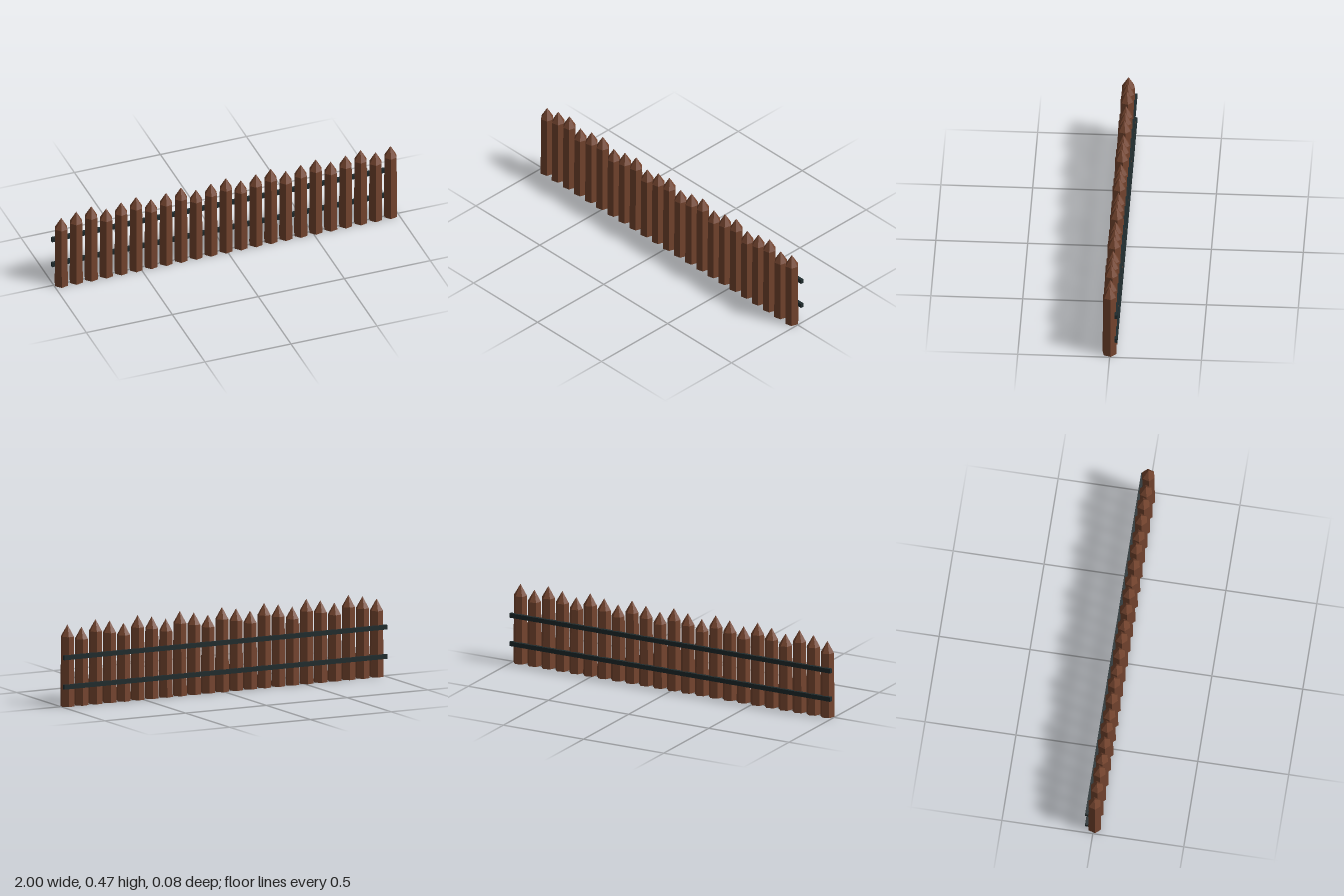
import * as THREE from 'three';

export function createModel() {
  const group = new THREE.Group();
  group.name = 'palisadeFence';

  const wood = new THREE.MeshStandardMaterial({ color: 0x75452f });
  wood.name = 'brown wood';
  const iron = new THREE.MeshStandardMaterial({ color: 0x1f2b2d });
  iron.name = 'dark iron';
  wood.flatShading = iron.flatShading = true;

  const count = 23, spacing = 0.087, tipHeight = 0.065;
  const heights = [0.43, 0.45, 0.465];
  const tipGeo = new THREE.ConeGeometry(0.037, tipHeight, 6, 1, true);

  // Hexagonal sharpened stakes in a repeating stepped rhythm
  for (let i = 0; i < count; i++) {
    const shaftHeight = heights[i % 3] - tipHeight;
    const stake = new THREE.Group();
    stake.name = 'stake' + (i + 1);

    const shaft = new THREE.Mesh(new THREE.CylinderGeometry(0.037, 0.04, shaftHeight, 6), wood);
    shaft.name = 'shaft';
    shaft.position.y = shaftHeight / 2;

    const tip = new THREE.Mesh(tipGeo, wood);
    tip.name = 'tip';
    tip.position.y = shaftHeight + tipHeight / 2;

    stake.add(shaft, tip);
    stake.position.set((i - (count - 1) / 2) * spacing, 0, 0.003);
    stake.rotation.y = -0.297;
    group.add(stake);
  }

  // Two rails across the back
  const railGeo = new THREE.BoxGeometry(2, 0.025, 0.017);
  for (const [name, y] of [['lowerRail', 0.113], ['upperRail', 0.275]]) {
    const rail = new THREE.Mesh(railGeo, iron);
    rail.name = name;
    rail.position.set(0, y, -0.0345);
    group.add(rail);
  }

  return group;
}
